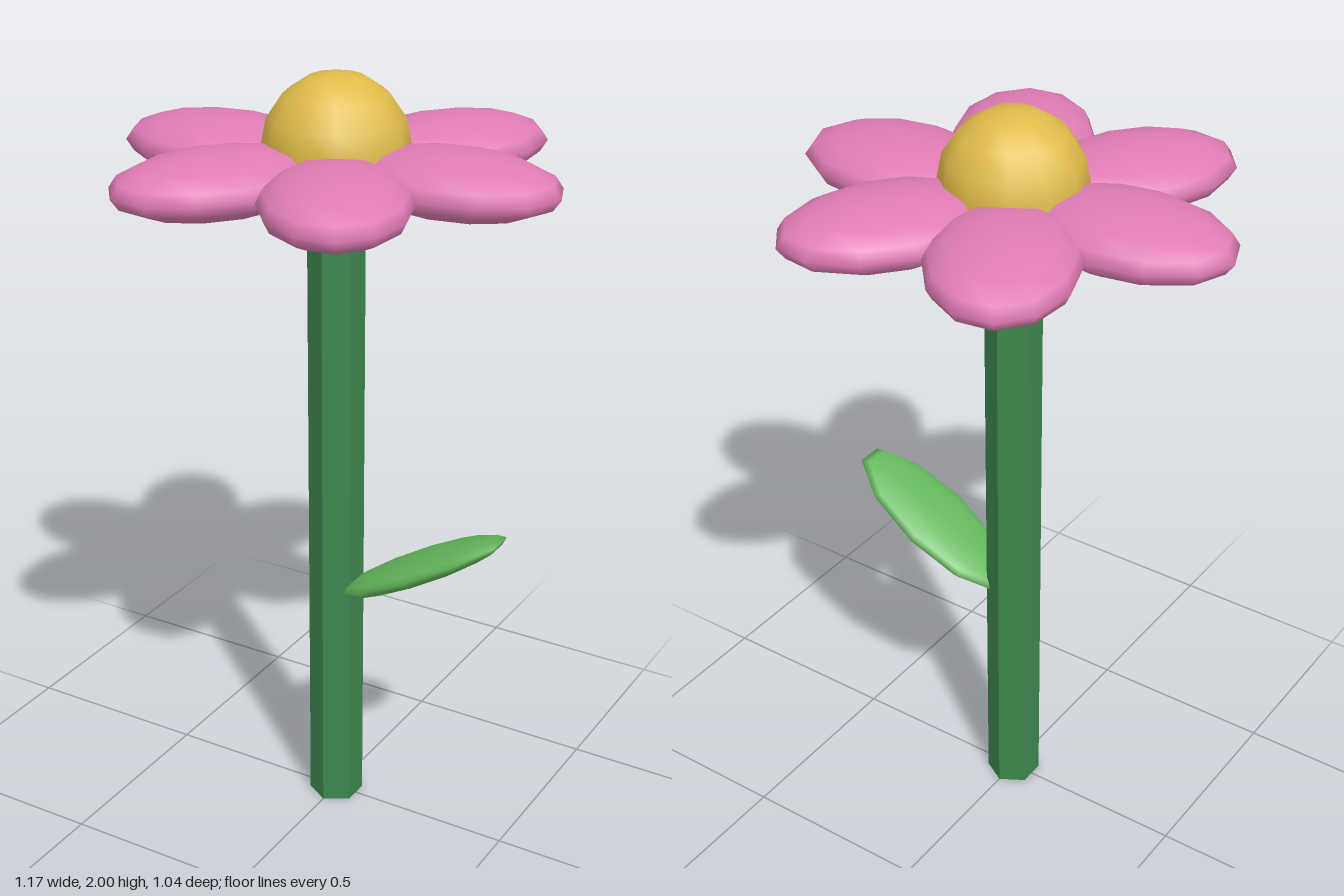
import * as THREE from 'three';

const material = (name, color, flatShading = false) => {
  const m = new THREE.MeshStandardMaterial({ color, flatShading });
  m.name = name;
  return m;
};

export function createModel() {
  const pink = material('petal pink', 0xe07cb5);
  const yellow = material('centre yellow', 0xe0bc4a);
  const darkGreen = material('stem green', 0x3d874e, true);
  const lightGreen = material('leaf green', 0x65b85d);

  const flower = new THREE.Group();
  flower.name = 'flower';
  const add = (name, geometry, mat, parent = flower) => {
    const mesh = new THREE.Mesh(geometry, mat);
    mesh.name = name;
    parent.add(mesh);
    return mesh;
  };

  // Six-sided stem, ending inside the flower centre
  const stemHeight = 1.74;
  add('stem', new THREE.CylinderGeometry(0.071, 0.071, stemHeight, 6), darkGreen)
    .position.y = stemHeight / 2;

  // Round flower centre
  add('flowerCentre', new THREE.SphereGeometry(0.18, 12, 8), yellow)
    .position.y = 1.82;

  // Ring of six flattened petals
  const petals = new THREE.Group();
  petals.name = 'petals';
  petals.position.y = 1.78;
  flower.add(petals);
  const petalGeometry = new THREE.SphereGeometry(0.18, 12, 8)
    .scale(1.5, 0.41, 1)
    .translate(0.315, 0, 0);
  for (let i = 0; i < 6; i++) {
    add(`petal${i + 1}`, petalGeometry, pink, petals).rotation.y = (i * Math.PI) / 3;
  }

  // Thin leaf rising from the left side of the stem
  const leafGeometry = new THREE.SphereGeometry(1, 10, 8)
    .scale(0.113, 0.035, 0.266)
    .rotateY(Math.PI / 2)
    .rotateZ(Math.PI / 6);
  add('leaf', leafGeometry, lightGreen).position.set(0.25, 0.757, 0);

  return flower;
}
